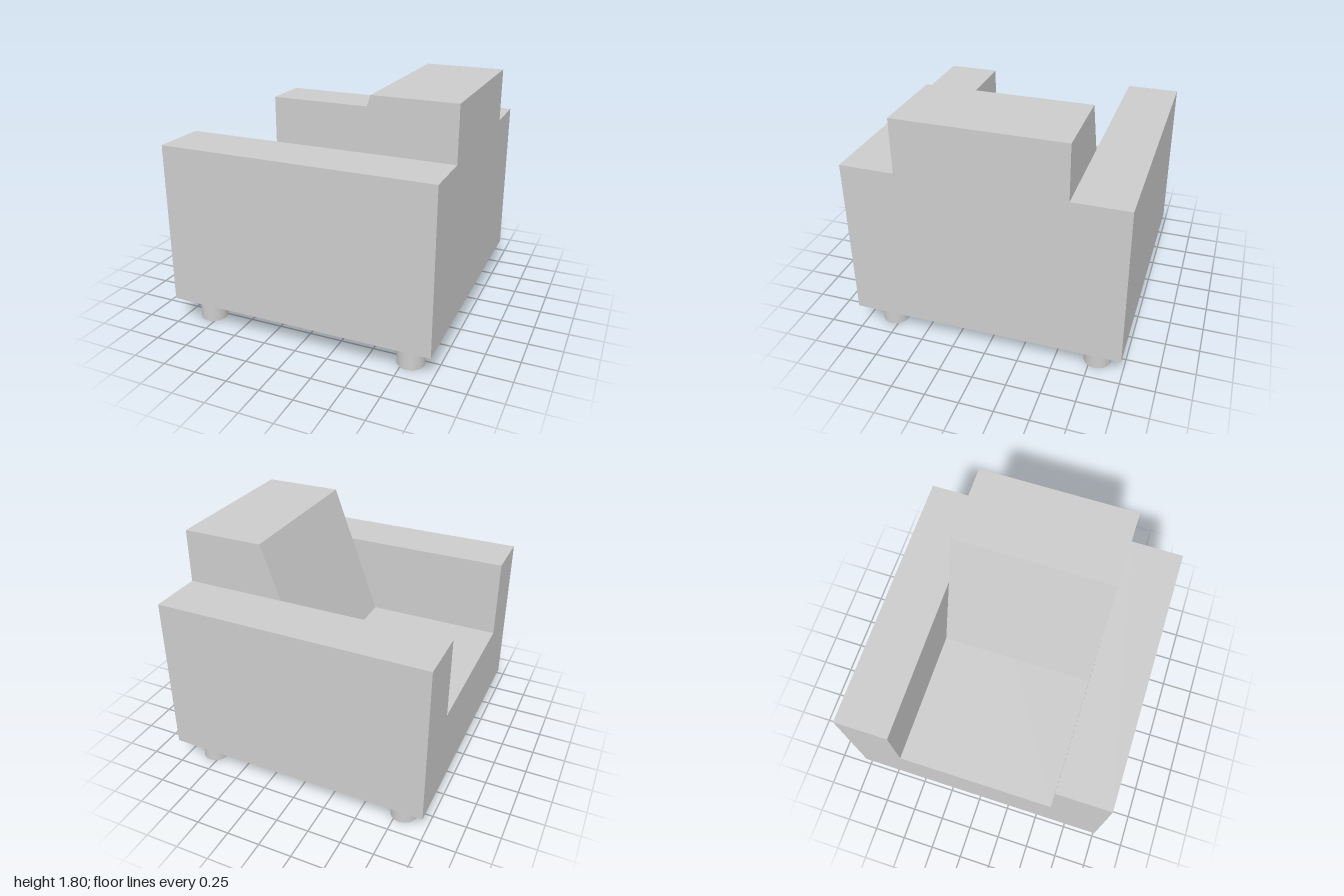
import * as THREE from 'three';

const material = new THREE.MeshStandardMaterial({ color: 0xcccccc });

// Extrudes an outline by depth, centred on z = 0
function extrude(name, points, depth) {
  const shape = new THREE.Shape(points.map(([x, y]) => new THREE.Vector2(x, y)));
  const geometry = new THREE.ExtrudeGeometry(shape, { depth, bevelEnabled: false });
  geometry.translate(0, 0, -depth / 2);
  const mesh = new THREE.Mesh(geometry, material);
  mesh.name = name;
  return mesh;
}

export function createModel() {
  const group = new THREE.Group();
  group.name = 'armchair';

  const legHeight = 0.2, seatY = 0.8, armY = 1.4, topY = 1.8;
  const half = 1, inner = 0.6;

  // Seat base and both arms: one U-shaped section running along x
  const body = extrude('seatAndArms', [
    [-half, legHeight], [half, legHeight], [half, armY], [inner, armY],
    [inner, seatY], [-inner, seatY], [-inner, armY], [-half, armY],
  ], 2 * half);
  body.rotation.y = Math.PI / 2;
  group.add(body);

  // Backrest between the arms, its face leaning back 20 degrees
  const backTopX = 0.4;
  const backFootX = backTopX - (topY - seatY) * Math.tan(THREE.MathUtils.degToRad(20));
  group.add(extrude('backrest', [
    [backFootX, seatY], [half, seatY], [half, topY], [backTopX, topY],
  ], 2 * inner));

  // Four round legs
  const legGeometry = new THREE.CylinderGeometry(0.1, 0.1, legHeight, 32);
  for (const x of [-0.8, 0.8]) {
    for (const z of [-0.8, 0.8]) {
      const leg = new THREE.Mesh(legGeometry, material);
      leg.name = 'leg';
      leg.position.set(x, legHeight / 2, z);
      group.add(leg);
    }
  }

  return group;
}
